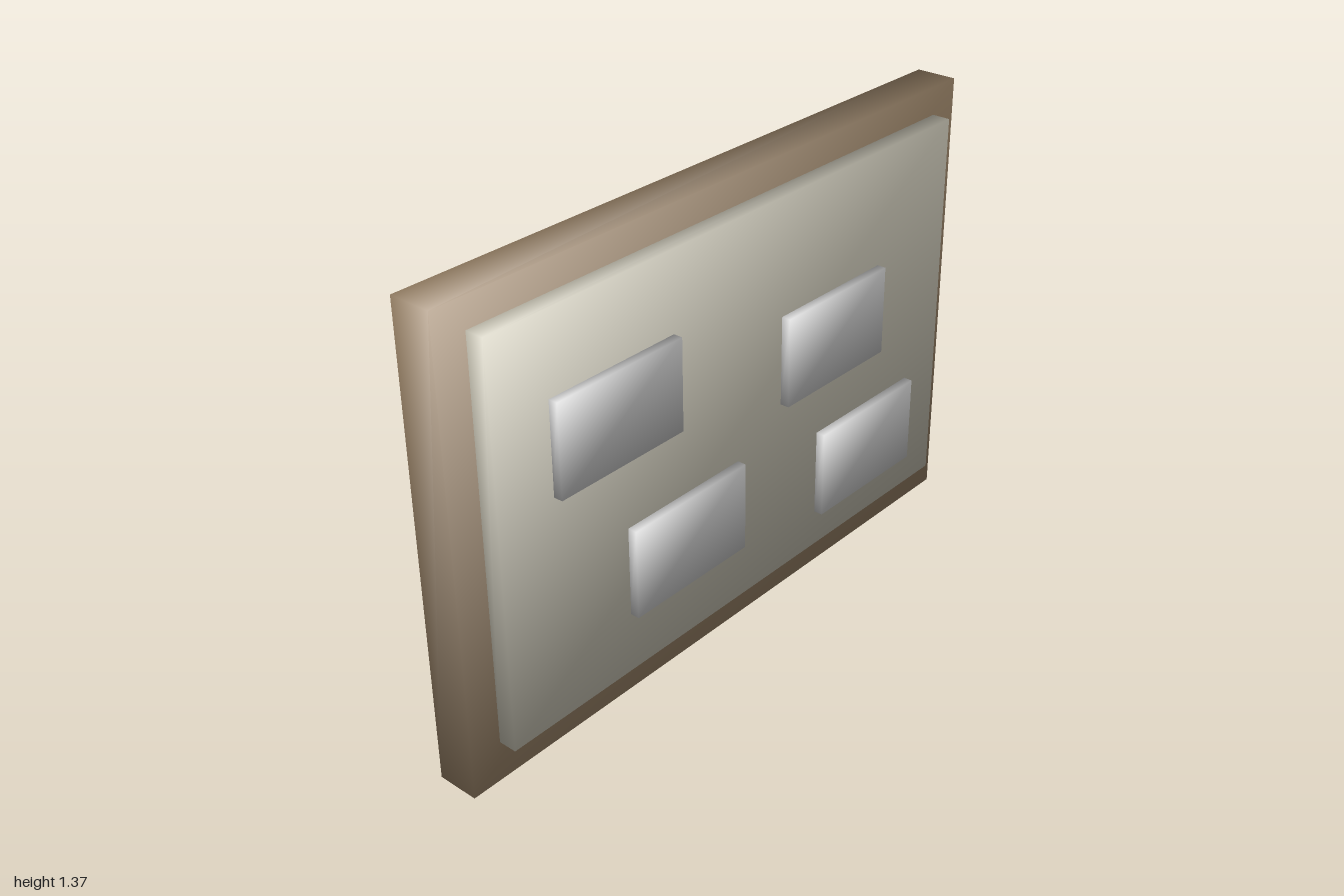
import * as THREE from 'three';

// Box whose normals point out through its corners, for softly shaded faces
function softBox(width, height, depth) {
  const geometry = new THREE.BoxGeometry(width, height, depth);
  const { position, normal } = geometry.attributes;
  const k = 1 / Math.sqrt(3);
  for (let i = 0; i < position.count; i++) {
    normal.setXYZ(i,
      Math.sign(position.getX(i)) * k,
      Math.sign(position.getY(i)) * k,
      Math.sign(position.getZ(i)) * k);
  }
  return geometry;
}

export function createModel() {
  const group = new THREE.Group();
  const brown = new THREE.MeshStandardMaterial({ color: 0x9b8468 });
  const cream = new THREE.MeshStandardMaterial({ color: 0xc8c4b4 });
  const grey = new THREE.MeshStandardMaterial({ color: 0xcccccc });

  // Adds a slab by its centre in x and y, its size, and its back and front z
  function addSlab(name, material, x, y, width, height, back, front) {
    const mesh = new THREE.Mesh(softBox(width, height, front - back), material);
    mesh.name = name;
    mesh.position.set(x, y, (back + front) / 2);
    group.add(mesh);
  }

  // Backing board and the raised panel on its front
  addSlab('backBoard', brown, 0, 0.684, 2, 1.368, -0.103, 0.021);
  addSlab('frontPanel', cream, 0, 0.702, 1.804, 1.164, 0.021, 0.076);

  // Four pinned notes
  const notes = [[-0.502, 0.919], [0.363, 0.803], [-0.253, 0.436], [0.532, 0.369]];
  notes.forEach(([x, y], i) => {
    addSlab('note' + (i + 1), grey, x, y, 0.434, 0.268, 0.076, 0.103);
  });

  return group;
}
